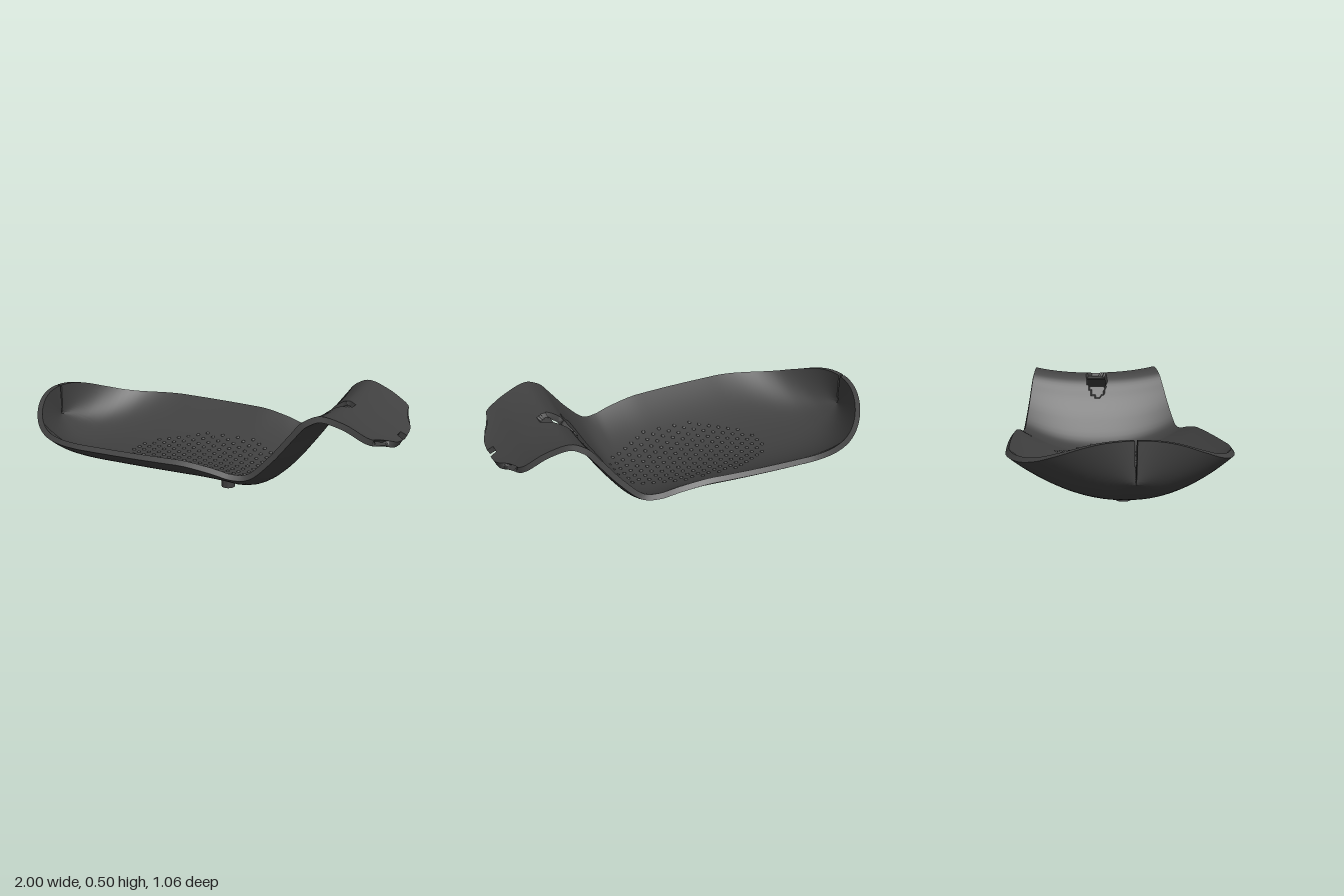
import * as THREE from 'three';
import { mergeGeometries, toCreasedNormals } from 'three/addons/utils/BufferGeometryUtils.js';

// Smooth curve through [x, y] points that never overshoots
function curve(pts) {
  const n = pts.length;
  const d = pts.slice(1).map((p, i) => (p[1] - pts[i][1]) / (p[0] - pts[i][0]));
  const m = pts.map((_, i) => {
    if (i === 0) return d[0];
    if (i === n - 1) return d[n - 2];
    return d[i - 1] * d[i] <= 0 ? 0 : (2 * d[i - 1] * d[i]) / (d[i - 1] + d[i]);
  });
  return (x) => {
    let i = 0;
    while (i < n - 2 && x > pts[i + 1][0]) i++;
    const h = pts[i + 1][0] - pts[i][0];
    const t = Math.min(1, Math.max(0, (x - pts[i][0]) / h));
    const a = t * t * (3 - 2 * t);
    return pts[i][1] * (1 - a) + pts[i + 1][1] * a
      + h * t * (1 - t) * ((1 - t) * m[i] - t * m[i + 1]);
  };
}

// Underside along the centre line, rise from centre to rim, and half width
const keel = curve([[-1, 0.16], [-0.9, 0.09], [-0.8, 0.05], [-0.7, 0.034], [-0.6, 0.03], [0.29, 0.03],
  [0.35, 0.043], [0.4, 0.07], [0.5, 0.19], [0.6, 0.34], [0.65, 0.405], [0.71, 0.435], [0.8, 0.412],
  [0.9, 0.36], [0.985, 0.315]]);
const rise = curve([[-1, 0.182], [-0.7, 0.175], [0.05, 0.175], [0.2, 0.157], [0.3, 0.133], [0.4, 0.1],
  [0.5, 0.07], [0.6, 0.045], [0.7, 0.035], [0.985, 0.03]]);
const side = curve([[-0.46, 0.53], [-0.25, 0.522], [0, 0.503], [0.2, 0.475], [0.4, 0.435], [0.6, 0.385],
  [0.8, 0.335], [0.9, 0.315], [0.93, 0.29], [0.965, 0.235], [0.985, 0.2]]);
const halfWidth = (x) => x > -0.46 ? side(x)
  : Math.max(0.006, 0.53 * Math.sqrt(Math.max(0, 1 - ((x + 0.46) / 0.54) ** 2)));
const bowl = (v) => Math.abs(v) ** 2.25;
const THICK = 0.028;

// Point on the underside; the raised end has a curved edge with a notch
function under(x, v) {
  const z = v * halfWidth(x);
  const s = THREE.MathUtils.smoothstep(x, 0.92, 0.985);
  const px = x - s * (0.02 * v ** 4 + (Math.abs(z) < 0.032 ? 0.03 : 0));
  return new THREE.Vector3(px, keel(px) + rise(px) * bowl(v), z);
}

function shellGeometry() {
  const xs = [], rows = 72;
  for (let i = 0; i < 26; i++) xs.push(-1 + 0.54 * (1 - Math.cos((i / 26) * Math.PI / 2)));
  for (let x = -0.46; x < 0.27; x += 0.04) xs.push(x);
  for (let x = 0.28; x < 0.555; x += 0.02) xs.push(x);
  for (let i = 56; i <= 74; i++) xs.push(i / 100);
  for (let x = 0.76; x < 0.91; x += 0.02) xs.push(x);
  xs.push(0.92, 0.93, 0.94, 0.95, 0.96, 0.97, 0.985);
  const vOf = (j) => (2 * j) / rows - 1;
  const outer = xs.map((x) => Array.from({ length: rows + 1 }, (_, j) => under(x, vOf(j))));

  // Upper skin, offset along the surface normal, thinner in the oval recess
  const last = xs.length - 1;
  const inner = outer.map((col, i) => col.map((p, j) => {
    const dx = outer[Math.min(last, i + 1)][j].clone().sub(outer[Math.max(0, i - 1)][j]);
    const dz = col[Math.min(rows, j + 1)].clone().sub(col[Math.max(0, j - 1)]);
    const n = dz.cross(dx).normalize();
    if (i === 0) n.set(0.58, 0.81, 0).lerp(new THREE.Vector3(1, 0, 0), Math.min(1, 3 * bowl(vOf(j)))).normalize();
    const recess = ((p.x - 0.66) / 0.075) ** 2 + (p.z / 0.056) ** 2 < 1;
    const q = p.clone().addScaledVector(n, recess ? 0.008 : THICK);
    q.z = p.z < 0 ? Math.min(q.z, 0.2 * p.z) : Math.max(q.z, 0.2 * p.z);
    return q;
  }));

  // Cells of the sheet, leaving out the rectangular slot
  const solid = (i, j) => {
    if (i < 0 || j < 0 || i >= last || j >= rows) return false;
    const x = (xs[i] + xs[i + 1]) / 2, v = vOf(j + 0.5);
    return !(x > 0.63 && x < 0.68 && Math.abs(v) < 0.135);
  };
  const pos = [];
  const quad = (a, b, c, d) => [a, b, c, a, c, d].forEach((p) => pos.push(p.x, p.y, p.z));
  for (let i = 0; i < last; i++) {
    for (let j = 0; j < rows; j++) {
      if (!solid(i, j)) continue;
      const ring = [[i, j], [i, j + 1], [i + 1, j + 1], [i + 1, j]];
      const next = [[i - 1, j], [i, j + 1], [i + 1, j], [i, j - 1]];
      const up = ring.map(([a, b]) => inner[a][b]);
      const down = ring.map(([a, b]) => outer[a][b]);
      quad(...up);
      quad(down[0], down[3], down[2], down[1]);
      next.forEach(([a, b], k) => {
        const l = (k + 1) % 4;
        if (!solid(a, b)) quad(down[k], down[l], up[l], up[k]);
      });
    }
  }
  const g = new THREE.BufferGeometry();
  g.setAttribute('position', new THREE.Float32BufferAttribute(pos, 3));
  return toCreasedNormals(g, 0.6);
}

// Honeycomb field of small grip bumps on the seat
function bumpGeometry() {
  const parts = [], pitch = 0.054;
  for (let c = -9; c <= 9; c++) {
    for (let r = -6; r <= 6; r++) {
      const dx = c * 0.0467, z = (r + (c % 2 ? 0 : 0.5)) * pitch;
      if ((dx / 0.44) ** 2 + (z / 0.29) ** 2 > 1) continue;
      const x = dx - 0.04, v = z / halfWidth(x);
      const slope = rise(x) * 2.25 * Math.abs(v) ** 1.25 / halfWidth(x);
      const y = keel(x) + rise(x) * bowl(v) + THICK * Math.hypot(1, slope);
      const g = new THREE.SphereGeometry(0.0105, 10, 4, 0, Math.PI * 2, 0, Math.PI / 2);
      g.scale(1, 0.8, 1);
      g.rotateX(-Math.sign(z) * Math.atan(slope));
      parts.push(g.translate(x, y - 0.001, z));
    }
  }
  return mergeGeometries(parts);
}

export function createModel() {
  const group = new THREE.Group();
  const charcoal = new THREE.MeshStandardMaterial({ color: 0x404040 });
  charcoal.name = 'charcoal';
  const add = (name, geometry) => {
    const mesh = new THREE.Mesh(geometry, charcoal);
    mesh.name = name;
    group.add(mesh);
    return mesh;
  };

  add('shell', shellGeometry());
  add('gripBumps', bumpGeometry());

  // Three round feet
  const foot = toCreasedNormals(new THREE.CylinderGeometry(0.033, 0.033, 0.04, 28), 0.6);
  add('endFoot', foot).position.set(-0.59, 0.02, 0);
  add('leftFoot', foot).position.set(0.19, 0.045, 0.213);
  add('rightFoot', foot).position.set(0.19, 0.045, -0.213);
  return group;
}
